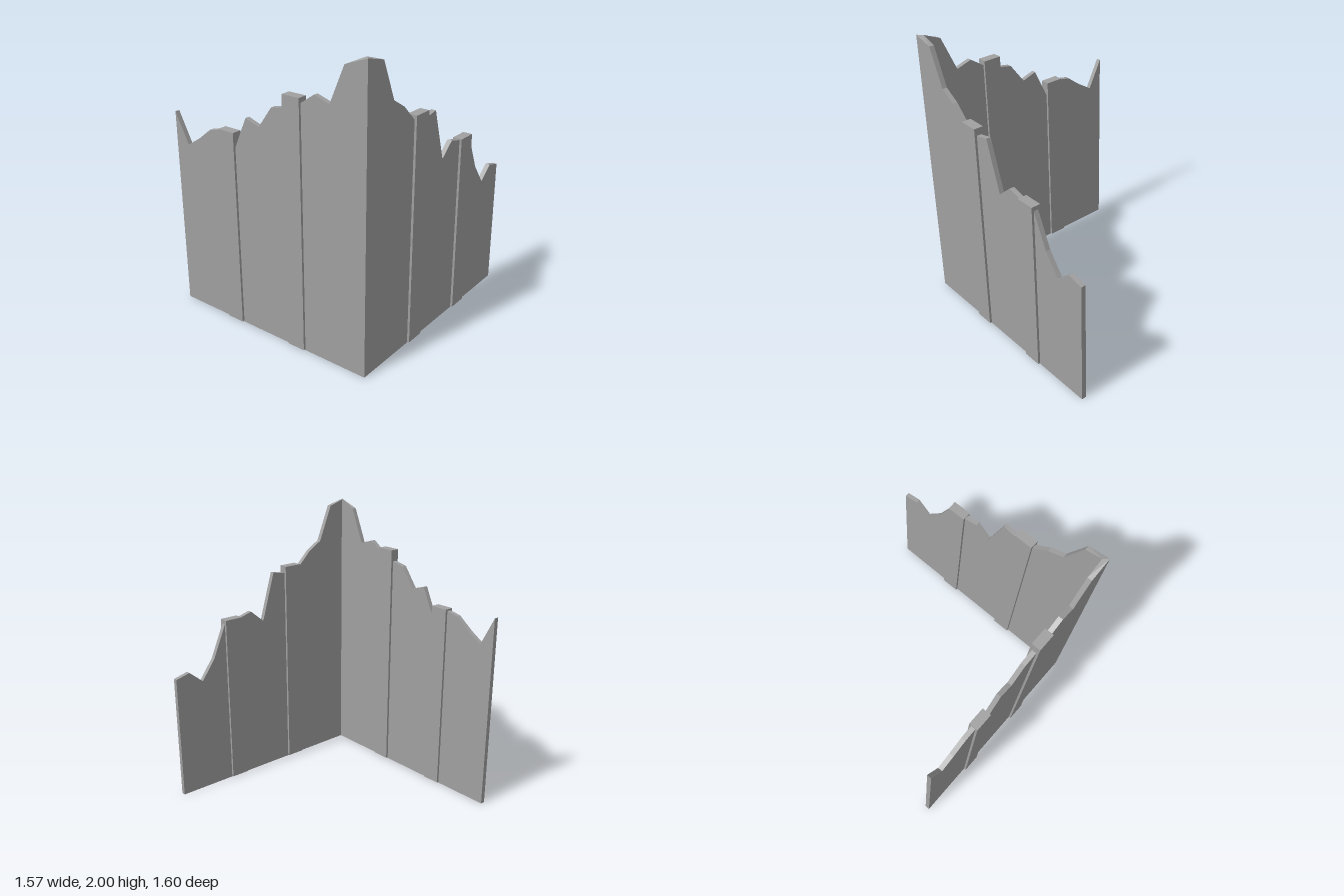
import * as THREE from 'three';

const T = 0.033; // wall thickness
const GREY = new THREE.MeshStandardMaterial({ color: 0xa0a0a0 });
GREY.name = 'stone grey';

// Jagged wall slab: outline of top points, extruded, with one end mitred on its inner face
function wallGeometry(top, cornerU, shift) {
  const s = new THREE.Shape();
  s.moveTo(top[0][0], 0);
  s.lineTo(top[top.length - 1][0], 0);
  for (let i = top.length - 1; i >= 0; i--) s.lineTo(top[i][0], top[i][1]);
  s.closePath();
  const g = new THREE.ExtrudeGeometry(s, { depth: T, bevelEnabled: false });
  const p = g.attributes.position;
  for (let i = 0; i < p.count; i++) {
    if (Math.abs(p.getX(i) - cornerU) < 1e-4 && p.getZ(i) < T / 2) p.setX(i, cornerU + shift);
  }
  g.computeVertexNormals();
  return g;
}

function add(group, name, geometry) {
  const m = new THREE.Mesh(geometry, GREY);
  m.name = name;
  group.add(m);
  return m;
}

export function createModel() {
  const model = new THREE.Group();
  model.name = 'ruinedCornerWall';

  // Front wall, rising toward the corner
  const front = [
    [-0.787, 1.4], [-0.68, 1.19], [-0.575, 1.255], [-0.465, 1.34], [-0.36, 1.36],
    [-0.25, 1.26], [-0.145, 1.485], [-0.037, 1.45], [0.07, 1.595], [0.18, 1.617],
    [0.29, 1.66], [0.4, 1.735], [0.51, 1.7], [0.615, 1.945], [0.77, 2],
  ];
  add(model, 'frontWall', wallGeometry(front, 0.77, -T)).position.z = 0.782 - T;

  // Side wall, listed from the corner to the back as [-z, height]
  const side = [
    [-0.782, 2], [-0.634, 1.965], [-0.528, 1.71], [-0.42, 1.645], [-0.313, 1.54],
    [-0.19, 1.512], [-0.074, 1.535], [0.032, 1.185], [0.14, 1.277], [0.247, 1.248],
    [0.368, 1.24], [0.477, 0.99], [0.584, 0.845], [0.69, 0.935], [0.798, 0.908],
  ];
  const g = wallGeometry(side, -0.782, T);
  g.rotateY(Math.PI / 2);
  add(model, 'sideWall', g).position.x = 0.77 - T;

  // Pillars straddling the walls: [name, centre x, centre z, width x, width z, top]
  const pillars = [
    ['frontPillarRight', -0.31, 0.765, 0.13, 0.066, 1.37],
    ['frontPillarLeft', 0.235, 0.765, 0.13, 0.066, 1.7],
    ['sidePillarFront', 0.753, 0.243, 0.066, 0.135, 1.565],
    ['sidePillarBack', 0.753, -0.306, 0.066, 0.135, 1.258],
  ];
  for (const [name, x, z, w, d, top] of pillars) {
    const h = top - 0.007;
    add(model, name, new THREE.BoxGeometry(w, h, d)).position.set(x, top - h / 2, z);
  }
  return model;
}
